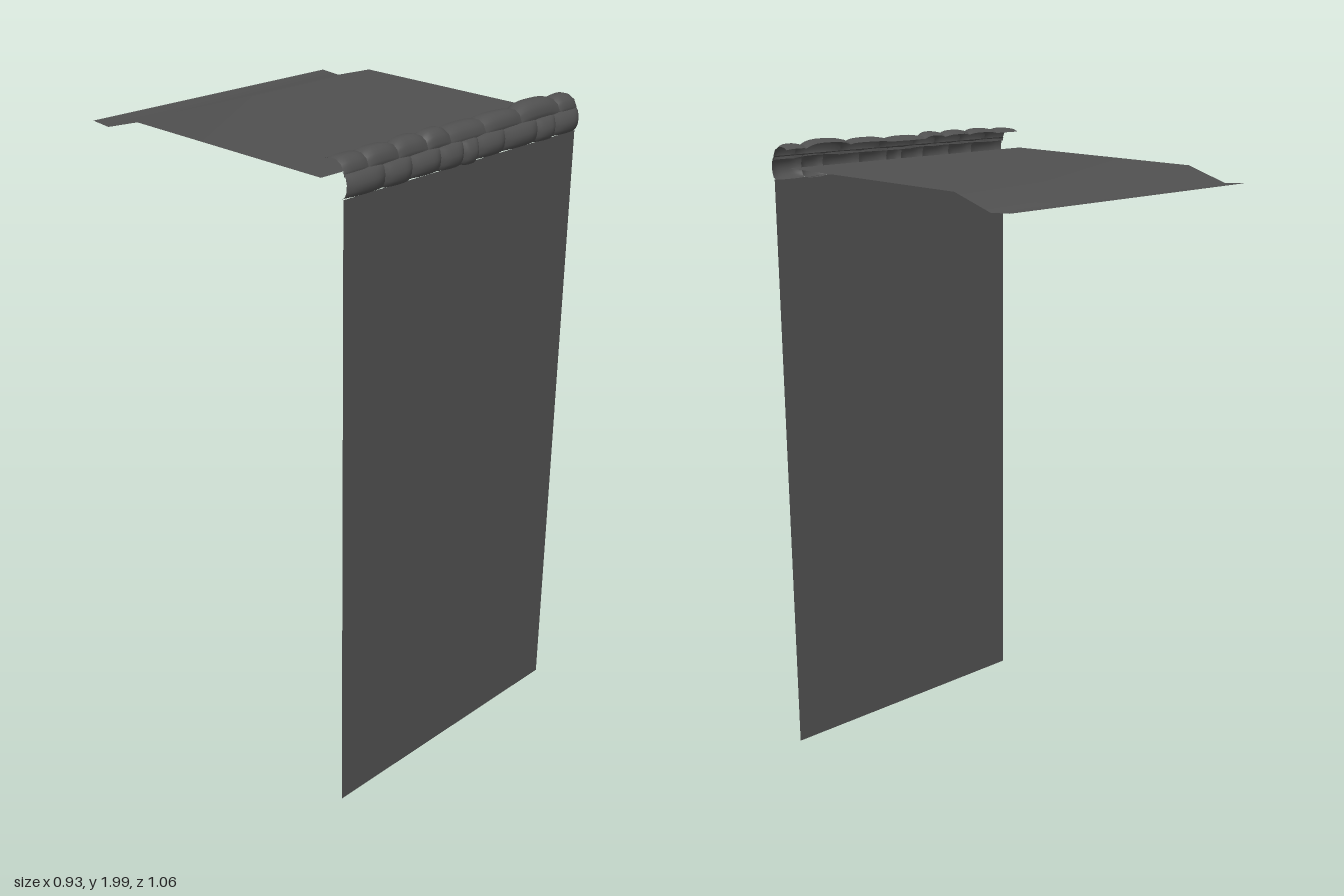
import * as THREE from 'three';

const HALF = 0.467; // half width shared by all parts

// Smooth surface through a grid of points: point(u, v), u runs along +x, v down the profile
function sheet(point, nu, nv, material, name) {
  const pos = [], index = [];
  for (let j = 0; j <= nv; j++) {
    for (let i = 0; i <= nu; i++) pos.push(...point(i / nu, j / nv));
  }
  for (let j = 0; j < nv; j++) {
    for (let i = 0; i < nu; i++) {
      const a = j * (nu + 1) + i, b = a + nu + 1;
      index.push(a, b, a + 1, a + 1, b, b + 1);
    }
  }
  const geo = new THREE.BufferGeometry();
  geo.setAttribute('position', new THREE.Float32BufferAttribute(pos, 3));
  geo.setIndex(index);
  geo.computeVertexNormals();
  const mesh = new THREE.Mesh(geo, material);
  mesh.name = name;
  return mesh;
}

// Linear interpolation in a short list of [key, value] pairs
function lookup(list, x) {
  for (let i = 1; i < list.length; i++) {
    const [x0, y0] = list[i - 1], [x1, y1] = list[i];
    if (x <= x1) return y0 + (y1 - y0) * (x - x0) / (x1 - x0);
  }
  return list[list.length - 1][1];
}

// Point on a [z, y] polyline with equal parameter steps
function along(profile, v) {
  const t = Math.min(v * (profile.length - 1), profile.length - 1.0001);
  const i = Math.floor(t), f = t - i;
  return [0, 1].map(k => profile[i][k] + (profile[i + 1][k] - profile[i][k]) * f);
}

export function createModel() {
  const group = new THREE.Group();
  const stone = new THREE.MeshStandardMaterial({ color: 0x505050, side: THREE.DoubleSide });
  stone.name = 'dark grey stone';

  // Vertical wall
  const wall = new THREE.Mesh(new THREE.PlaneGeometry(HALF * 2, 1.88), stone);
  wall.position.set(0, 0.94, 0.505);
  wall.name = 'wall';
  group.add(wall);

  // Ground sheet, dipping towards the back
  const ground = [[-0.533, 1.885], [-0.46, 1.88], [-0.32, 1.92], [0.425, 1.92]];
  group.add(sheet((u, v) => {
    const [z, y] = along(ground, v);
    return [(u * 2 - 1) * HALF, y, z];
  }, 1, 3, stone, 'ground'));

  // Rock lip: an upper row curling back and a lower row hanging over the wall
  const lip = new THREE.Group();
  lip.name = 'rockLip';
  group.add(lip);

  const backEdge = [[-0.467, 0.435], [-0.385, 0.44], [-0.27, 0.455], [-0.22, 0.44], [-0.12, 0.45],
    [-0.08, 0.44], [0, 0.435], [0.1, 0.44], [0.2, 0.455], [0.25, 0.44], [0.34, 0.45], [0.4, 0.44], [0.467, 0.435]];
  const upper = {
    name: 'upperRock',
    cuts: [-HALF, -0.38, -0.27, -0.16, -0.07, 0.07, 0.22, 0.39, HALF],
    lift: [0, 0.005, 0.006, 0.007, 0, 0.004, 0.012, 0.002],
    profile: [[0.435, 1.972], [0.452, 1.979], [0.478, 1.979], [0.497, 1.968], [0.506, 1.95], [0.507, 1.938]],
    bulge: 0.008,
  };
  const lower = {
    name: 'lowerRock',
    cuts: [-HALF, -0.33, -0.23, -0.12, -0.03, 0.03, 0.14, 0.28, 0.36, HALF],
    lift: [0.003, 0, 0.004, 0, -0.004, 0.003, 0.003, 0, 0.002],
    profile: [[0.502, 1.95], [0.512, 1.94], [0.517, 1.92], [0.515, 1.9], [0.509, 1.886], [0.5, 1.881]],
    bulge: 0.014,
  };

  for (const row of [upper, lower]) {
    row.lift.forEach((lift, k) => {
      const x0 = row.cuts[k], x1 = row.cuts[k + 1];
      lip.add(sheet((u, v) => {
        const x = x0 + (x1 - x0) * u;
        const round = 1 - Math.abs(2 * u - 1) ** 3; // flat middle, pinched at the joints
        let [z, y] = along(row.profile, v);
        const out = row.bulge * round * Math.sin(Math.PI * v);
        if (row === upper) {
          z += (lookup(backEdge, x) - 0.435) * (1 - v) ** 2 + out * v;
          y += (out + lift * round) * (1 - v * 0.6);
        } else {
          z += out;
          y += lift * round * v - 0.004 * round * v;
        }
        return [x, y, z];
      }, 8, 10, stone, row.name));
    });
  }
  return group;
}
